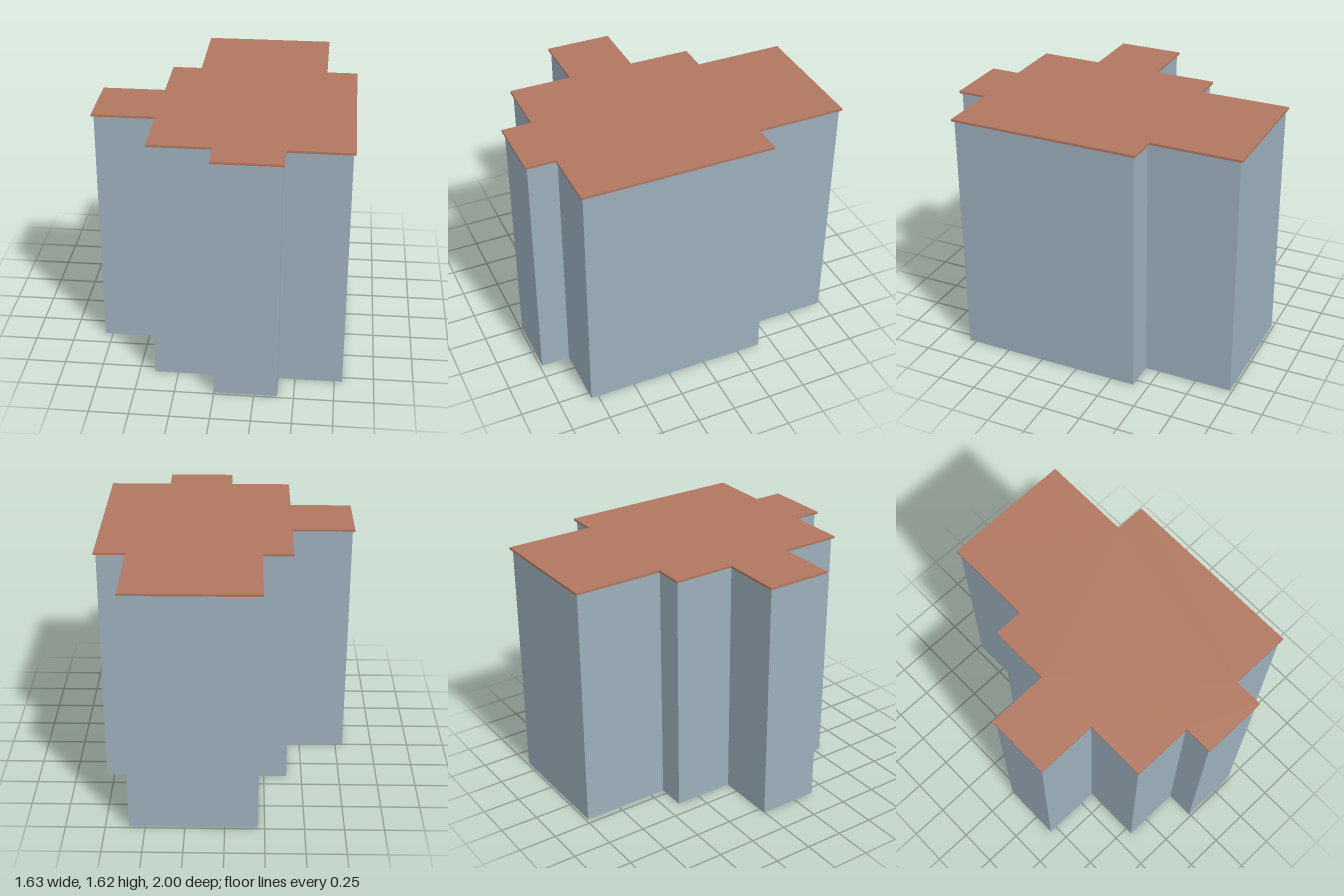
import * as THREE from 'three';

const WALL_HEIGHT = 1.605;
const ROOF_THICKNESS = 0.015;
const OVERHANG = 0.014;

// Stepped footprint as [x, z], counter-clockwise seen from above
const FOOTPRINT = [
  [-0.21, -0.986], [-0.21, -0.405], [-0.4, -0.405], [-0.4, -0.004],
  [-0.8, -0.004], [-0.8, 0.396], [-0.4, 0.396], [-0.4, 0.797],
  [-0.004, 0.797], [-0.004, 0.986], [0.397, 0.986], [0.397, 0.797],
  [0.8, 0.797], [0.8, -0.405], [0.602, -0.405], [0.602, -0.986],
];

// Push every edge of the right-angled outline outwards by d
function offsetOutline(points, d) {
  const n = points.length;
  return points.map(([x, z], i) => {
    const [px, pz] = points[(i + n - 1) % n];
    const [nx, nz] = points[(i + 1) % n];
    const dx = Math.sign(x - px) + Math.sign(nx - x);
    const dz = Math.sign(z - pz) + Math.sign(nz - z);
    return [x - dz * d, z + dx * d];
  });
}

// Upright prism over an outline, its base at height y
function prism(name, points, height, y, material) {
  const shape = new THREE.Shape(points.map(([x, z]) => new THREE.Vector2(x, -z)));
  const geometry = new THREE.ExtrudeGeometry(shape, { depth: height, bevelEnabled: false });
  geometry.rotateX(-Math.PI / 2);
  const mesh = new THREE.Mesh(geometry, material);
  mesh.name = name;
  mesh.position.y = y;
  return mesh;
}

export function createModel() {
  const wallMaterial = new THREE.MeshStandardMaterial({ color: 0x9cafbc });
  wallMaterial.name = 'blue grey wall';
  const roofMaterial = new THREE.MeshStandardMaterial({ color: 0xb0775f });
  roofMaterial.name = 'terracotta roof';

  const building = new THREE.Group();
  building.name = 'building';
  building.add(
    prism('walls', FOOTPRINT, WALL_HEIGHT, 0, wallMaterial),
    // Thin flat roof with a small overhang all round
    prism('roof', offsetOutline(FOOTPRINT, OVERHANG), ROOF_THICKNESS, WALL_HEIGHT, roofMaterial),
  );
  return building;
}
